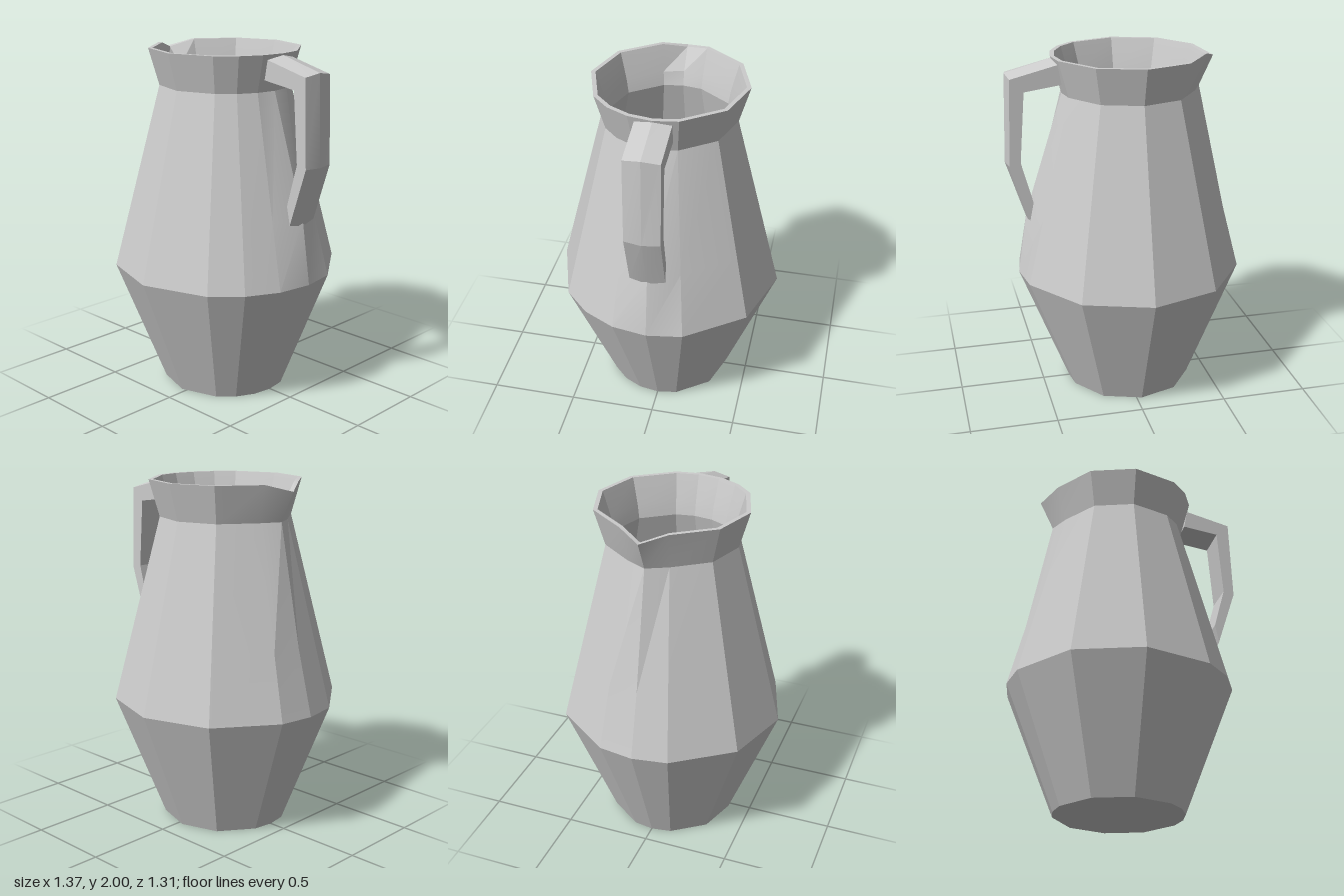
import * as THREE from 'three';
import { toCreasedNormals } from 'three/addons/utils/BufferGeometryUtils.js';

const material = new THREE.MeshStandardMaterial({ color: 0xcccccc });

// Skin a series of closed rings of equal point count
function skin(rings, name) {
  const pos = [];
  const tri = (a, b, c) => {
    const area = b.clone().sub(a).cross(c.clone().sub(a)).length();
    if (area > 1e-7) for (const p of [a, b, c]) pos.push(p.x, p.y, p.z);
  };
  for (let j = 0; j < rings.length - 1; j++) {
    const low = rings[j], high = rings[j + 1], n = low.length;
    for (let i = 0; i < n; i++) {
      const k = (i + 1) % n;
      tri(low[i], high[i], low[k]);
      tri(high[i], high[k], low[k]);
    }
  }
  const geometry = new THREE.BufferGeometry();
  geometry.setAttribute('position', new THREE.Float32BufferAttribute(pos, 3));
  const mesh = new THREE.Mesh(toCreasedNormals(geometry, 0.28), material);
  mesh.name = name;
  return mesh;
}

// Jug wall: decagon columns plus extra ones at the spout, handle and front right
function createBody() {
  const columns = [0, 18, 36, 54, 90, 126, 162, 180, 198, 234, 270, 306, 342];
  const profile = [
    { r: 0, y: 0 },
    { r: 0.37, y: 0 },
    { r: 0.655, y: 0.73 },
    { r: 0.559, y: 1.1, handle: 0.6 },          // swelling under the handle
    { r: 0.38, y: 1.79, spout: 0.42 },          // neck
    { r: 0.44, y: 2, spout: 0.5, tipY: 1.96 },  // rim
    { r: 0.415, y: 2, spout: 0.47, tipY: 1.96 },
    { r: 0.37, y: 1.85, spout: 0.38 },          // inside
    { r: 0.355, y: 1.77 },
    { r: 0.625, y: 0.73 },
    { r: 0.35, y: 0.04 },
    { r: 0, y: 0.04 },
  ];
  const rings = profile.map(({ r, y, handle = r, spout = r, tipY = y }) =>
    columns.map((deg) => {
      const a = THREE.MathUtils.degToRad(deg);
      const radius = deg === 0 ? handle : deg === 180 ? spout : r;
      return new THREE.Vector3(-0.03 + radius * Math.cos(a), deg === 180 ? tipY : y, radius * Math.sin(a));
    }));
  return skin(rings, 'jugBody');
}

// Handle: five-sided section with a low ridge along its outer face
function createHandle() {
  const half = 0.1;
  const stations = [ // inner x, y, outer x, y
    [0.365, 1.86, 0.39, 1.995],
    [0.575, 1.83, 0.668, 1.92],
    [0.605, 1.43, 0.682, 1.41],
    [0.54, 1.19, 0.567, 1.06],
  ];
  const rings = stations.map(([ix, iy, ox, oy]) => {
    const sx = ox + (ix - ox) * 0.18, sy = oy + (iy - oy) * 0.18;
    return [[ix, iy, -half], [ix, iy, half], [sx, sy, half], [ox, oy, 0], [sx, sy, -half]]
      .map((p) => new THREE.Vector3(...p));
  });
  // Close both ends by collapsing onto their centres
  const collapse = (ring) => {
    const centre = new THREE.Vector3();
    ring.forEach((p) => centre.addScaledVector(p, 1 / ring.length));
    return ring.map(() => centre.clone());
  };
  return skin([collapse(rings[0]), ...rings, collapse(rings[rings.length - 1])], 'handle');
}

export function createModel() {
  const jug = new THREE.Group();
  jug.name = 'jug';
  jug.add(createBody(), createHandle());
  return jug;
}
